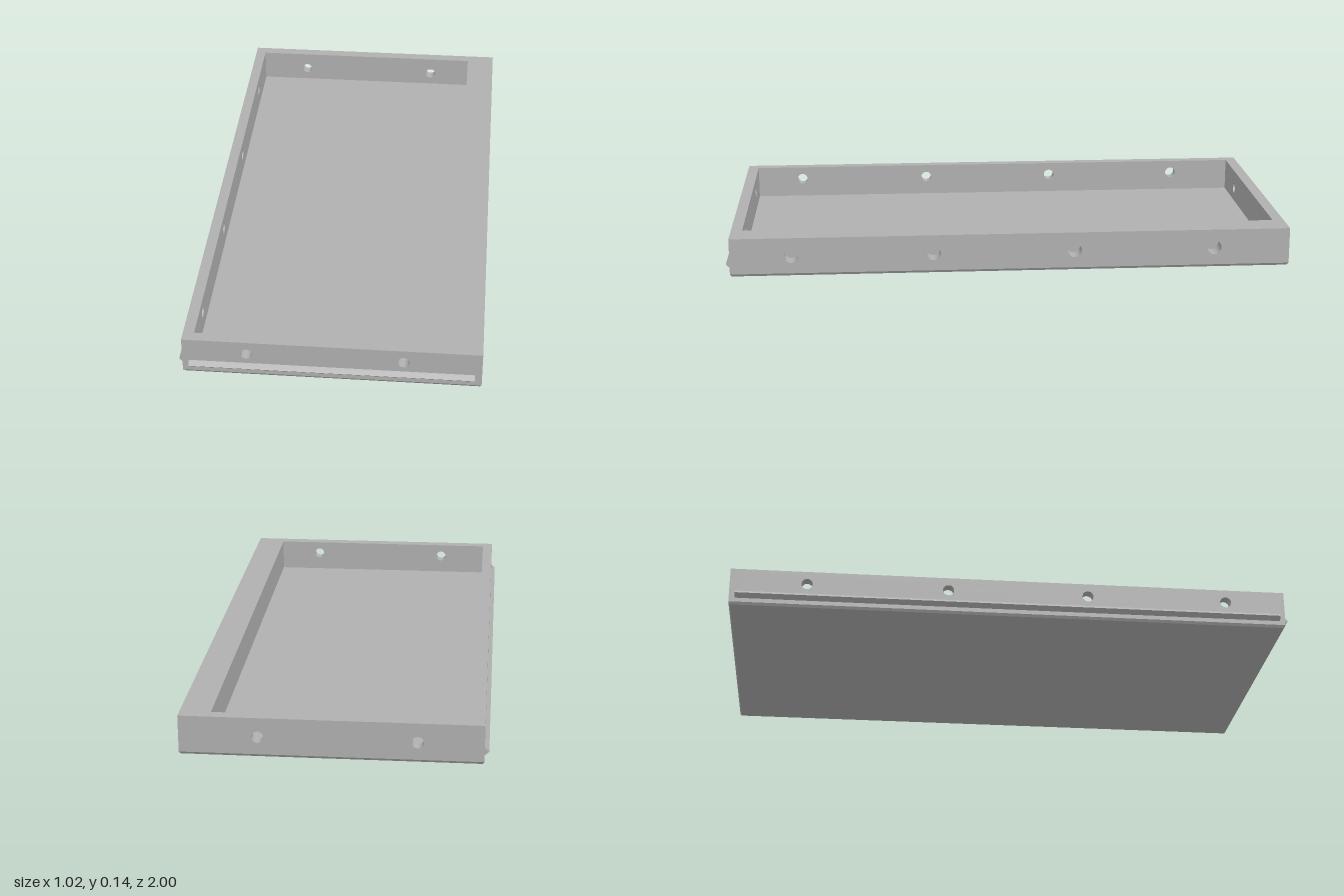
import * as THREE from 'three';

// Outer and inner limits of the tray
const X0 = -0.498, X1 = 0.511, Z0 = -1, Z1 = 0.985;
const IX0 = -0.46, IX1 = 0.406, IZ0 = -0.96, IZ1 = 0.945;
const CHAMFER = 0.009, FLOOR = 0.02, TOP = 0.138;
const SIDE_HOLES = [-0.73, -0.23, 0.27, 0.77];
const END_HOLES = [-0.28, 0.248];

export function createModel() {
  const group = new THREE.Group();
  const grey = new THREE.MeshStandardMaterial({ color: 0xb0b0b0 });
  grey.name = 'grey plastic';

  const add = (name, geometry) => {
    const mesh = new THREE.Mesh(geometry, grey);
    mesh.name = name;
    group.add(mesh);
    return mesh;
  };

  // Upright panel from a to b, drilled with round holes, extruded along +z
  const panel = (a, b, depth, holes = [], y = 0, r = 0) => {
    const shape = new THREE.Shape([
      new THREE.Vector2(a, CHAMFER), new THREE.Vector2(b, CHAMFER),
      new THREE.Vector2(b, TOP), new THREE.Vector2(a, TOP),
    ]);
    for (const h of holes) {
      const path = new THREE.Path();
      path.absarc(h, y, r, 0, Math.PI * 2, true);
      shape.holes.push(path);
    }
    return new THREE.ExtrudeGeometry(shape, { depth, bevelEnabled: false, curveSegments: 32 });
  };

  // The same panel running along z and extruded along +x
  const sidePanel = (depth, holes = [], y = 0, r = 0) =>
    panel(-IZ1, -IZ0, depth, holes.map((z) => -z), y, r).rotateY(Math.PI / 2);

  // End walls with through holes
  add('frontWall', panel(X0, X1, Z1 - IZ1, END_HOLES, 0.09, 0.02)).position.z = IZ1;
  add('backWall', panel(X0, X1, IZ0 - Z0, END_HOLES, 0.07, 0.02)).position.z = Z0;

  // Narrow side wall with through holes
  add('narrowSideWall', sidePanel(IX0 - X0, SIDE_HOLES, 0.09, 0.02)).position.x = X0;

  // Wide side wall: drilled outer layer over a solid inner layer makes blind sockets
  const socket = 0.06;
  add('wideSideWallOuter', sidePanel(socket, SIDE_HOLES, 0.072, 0.025)).position.x = X1 - socket;
  add('wideSideWallInner', sidePanel(X1 - socket - IX1)).position.x = IX1;

  // Floor inside the walls
  add('floor', new THREE.BoxGeometry(IX1 - IX0, FLOOR - CHAMFER, IZ1 - IZ0))
    .position.set((IX0 + IX1) / 2, (FLOOR + CHAMFER) / 2, (IZ0 + IZ1) / 2);

  // Base slab with its lower edge drawn in as a chamfer
  const base = new THREE.BoxGeometry(X1 - X0, CHAMFER, Z1 - Z0);
  const p = base.attributes.position;
  for (let i = 0; i < p.count; i++) {
    if (p.getY(i) < 0) {
      p.setX(i, p.getX(i) - Math.sign(p.getX(i)) * 0.006);
      p.setZ(i, p.getZ(i) - Math.sign(p.getZ(i)) * 0.006);
    }
  }
  base.computeVertexNormals();
  add('chamferedBase', base).position.set((X0 + X1) / 2, CHAMFER / 2, (Z0 + Z1) / 2);

  // Triangular locating ridges, pointing along -x before turning
  const ridge = (length) => new THREE.ExtrudeGeometry(new THREE.Shape([
    new THREE.Vector2(0, 0.024), new THREE.Vector2(0, 0.052), new THREE.Vector2(-0.015, 0.038),
  ]), { depth: length, bevelEnabled: false });
  add('sideRidge', ridge(1.945)).position.set(X0, 0, -0.98);
  add('frontRidge', ridge(0.963).rotateY(Math.PI / 2)).position.set(-0.476, 0, Z1);

  return group;
}
